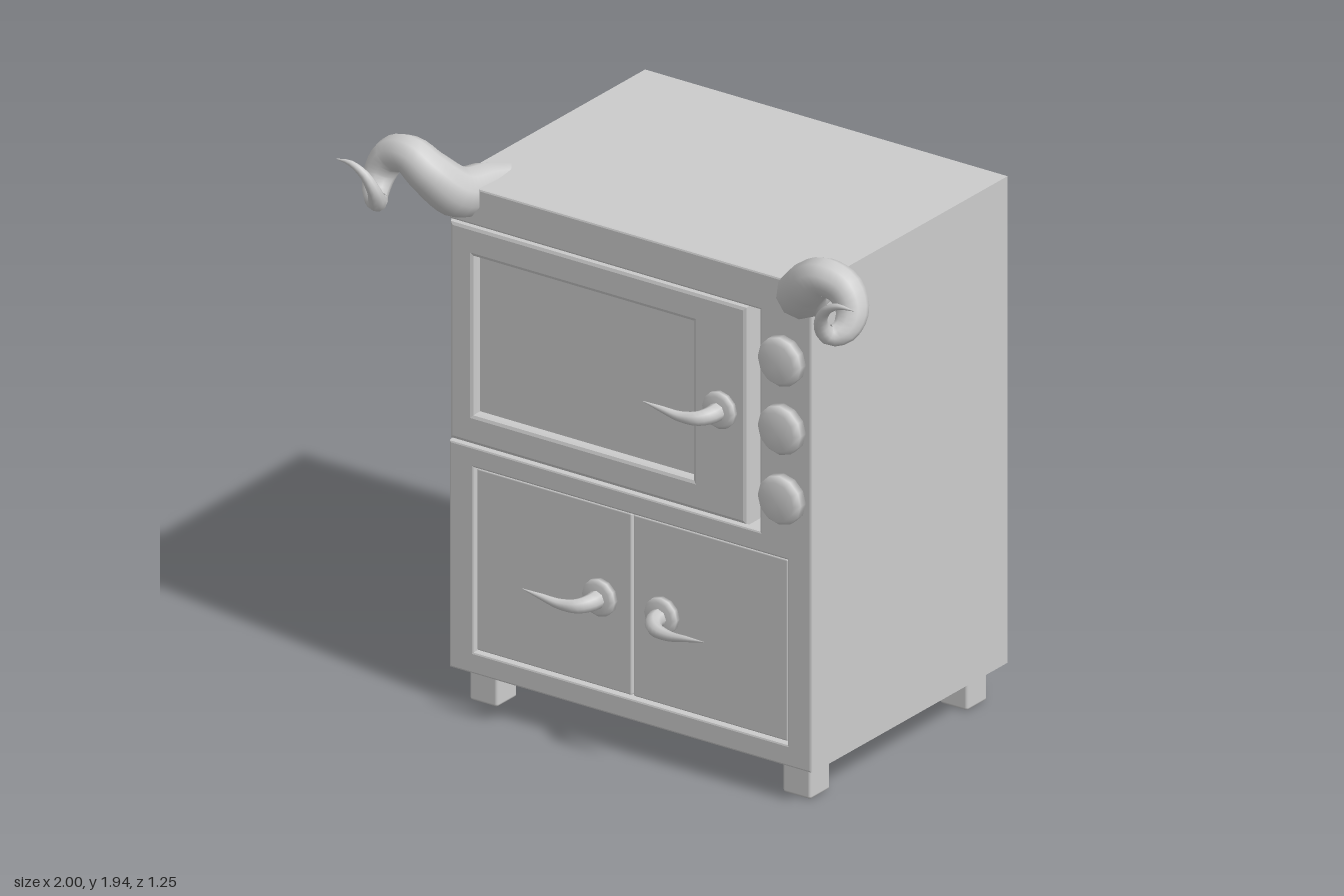
import * as THREE from 'three';
import { RoundedBoxGeometry } from 'three/addons/geometries/RoundedBoxGeometry.js';

const mat = new THREE.MeshStandardMaterial({ color: 0xcccccc, side: THREE.DoubleSide });

export function createModel() {
  const model = new THREE.Group();

  const add = (name, geo, x = 0, y = 0, z = 0) => {
    const mesh = new THREE.Mesh(geo, mat);
    mesh.name = name;
    mesh.position.set(x, y, z);
    model.add(mesh);
    return mesh;
  };
  const corners = (x0, x1, y0, y1) =>
    [[x0, y0], [x1, y0], [x1, y1], [x0, y1]].map(p => new THREE.Vector2(...p));

  // Flat outline with rectangular openings, extruded from z0 to z1 with small bevels
  const plate = (name, outline, holes, z0, z1, bevel) => {
    const shape = new THREE.Shape(outline);
    holes.forEach(h => shape.holes.push(new THREE.Path(corners(...h))));
    const geo = new THREE.ExtrudeGeometry(shape, {
      depth: z1 - z0 - 2 * bevel, bevelEnabled: true, bevelThickness: bevel,
      bevelSize: bevel, bevelOffset: -bevel, bevelSegments: 2,
    });
    return add(name, geo, 0, 0, z0 + bevel);
  };

  // Tapered horn along points [x, y, z, radius]
  const horn = (name, pts, side, segments, sides) => {
    const curve = new THREE.CatmullRomCurve3(pts.map(p => new THREE.Vector3(p[0] * side, p[1], p[2])));
    const geo = new THREE.TubeGeometry(curve, segments, 1, sides);
    const pos = geo.attributes.position, nor = geo.attributes.normal;
    const v = new THREE.Vector3(), n = new THREE.Vector3();
    for (let i = 0; i < pos.count; i++) {
      const u = Math.floor(i / (sides + 1)) / segments;
      const t = curve.getUtoTmapping(u) * (pts.length - 1);
      const k = Math.min(Math.floor(t), pts.length - 2);
      const r = THREE.MathUtils.lerp(pts[k][3], pts[k + 1][3], t - k);
      n.fromBufferAttribute(nor, i);
      v.copy(curve.getPointAt(u)).addScaledVector(n, r);
      pos.setXYZ(i, v.x, v.y, v.z);
    }
    return add(name, geo);
  };

  // Round disc with a chamfered face, standing on the front
  const disc = (name, r, depth, x, y, z) => {
    const profile = [[0, 0], [r, 0], [r, depth * 0.6], [r * 0.8, depth], [0, depth]];
    const geo = new THREE.LatheGeometry(profile.map(p => new THREE.Vector2(...p)), 12);
    geo.rotateX(Math.PI / 2);
    return add(name, geo, x, y, z);
  };

  // Cabinet: solid block behind a front frame that is notched for the oven door
  add('cabinet', new THREE.BoxGeometry(1.4, 1.67, 0.96), 0, 0.955, -0.15);
  const outline = [[-0.7, 0.12], [0.7, 0.12], [0.7, 1.79], [-0.7, 1.79],
    [-0.7, 1.66], [0.5, 1.66], [0.5, 0.9], [-0.7, 0.9]].map(p => new THREE.Vector2(...p));
  plate('frontFrame', outline, [[-0.605, 0.605, 0.195, 0.828]], 0.31, 0.42, 0.007);

  // Oven door with recessed window
  plate('ovenDoor', corners(-0.7, 0.45, 0.905, 1.655), [[-0.605, 0.24, 1.01, 1.55]], 0.335, 0.42, 0.014);
  add('ovenWindow', new THREE.BoxGeometry(0.87, 0.56, 0.04), -0.18, 1.28, 0.365);

  // Lower cupboard doors
  for (const s of [-1, 1]) {
    add('cupboardDoor', new RoundedBoxGeometry(0.598, 0.624, 0.09, 2, 0.006), s * 0.302, 0.512, 0.364);
  }

  // Knobs
  for (const y of [1.515, 1.28, 1.04]) disc('knob', 0.083, 0.05, 0.595, y, 0.417);

  // Horn-shaped handles on round bases
  const handle = (x, y, z, side) => {
    disc('handleBase', 0.063, 0.03, x, y, z);
    const grip = horn('handleHorn', [
      [0, 0, 0.01, 0.032], [0.002, -0.003, 0.055, 0.029], [0.03, -0.01, 0.088, 0.024],
      [0.09, -0.014, 0.1, 0.017], [0.16, -0.005, 0.104, 0.01], [0.23, 0.003, 0.104, 0.001],
    ], side, 20, 8);
    grip.position.set(x, y, z);
  };
  handle(0.35, 1.28, 0.415, -1);
  handle(-0.12, 0.51, 0.407, -1);
  handle(0.12, 0.51, 0.407, 1);

  // Curled horns at the top front corners
  const curl = [
    [0.62, 1.74, 0.2, 0.05], [0.64, 1.75, 0.31, 0.075], [0.665, 1.76, 0.42, 0.084],
    [0.73, 1.83, 0.48, 0.073], [0.8, 1.878, 0.492, 0.063], [0.875, 1.855, 0.485, 0.06],
    [0.912, 1.79, 0.495, 0.053], [0.905, 1.735, 0.53, 0.043], [0.872, 1.722, 0.565, 0.032],
    [0.862, 1.77, 0.595, 0.023], [0.89, 1.825, 0.608, 0.016], [0.94, 1.855, 0.612, 0.01],
    [1.0, 1.853, 0.606, 0.001],
  ];
  for (const s of [-1, 1]) horn(s > 0 ? 'leftHorn' : 'rightHorn', curl, s, 48, 10);

  // Feet
  for (const x of [-0.605, 0.605]) {
    for (const z of [0.315, -0.525]) {
      add('foot', new RoundedBoxGeometry(0.108, 0.14, 0.108, 2, 0.01), x, 0.07, z);
    }
  }
  return model;
}
